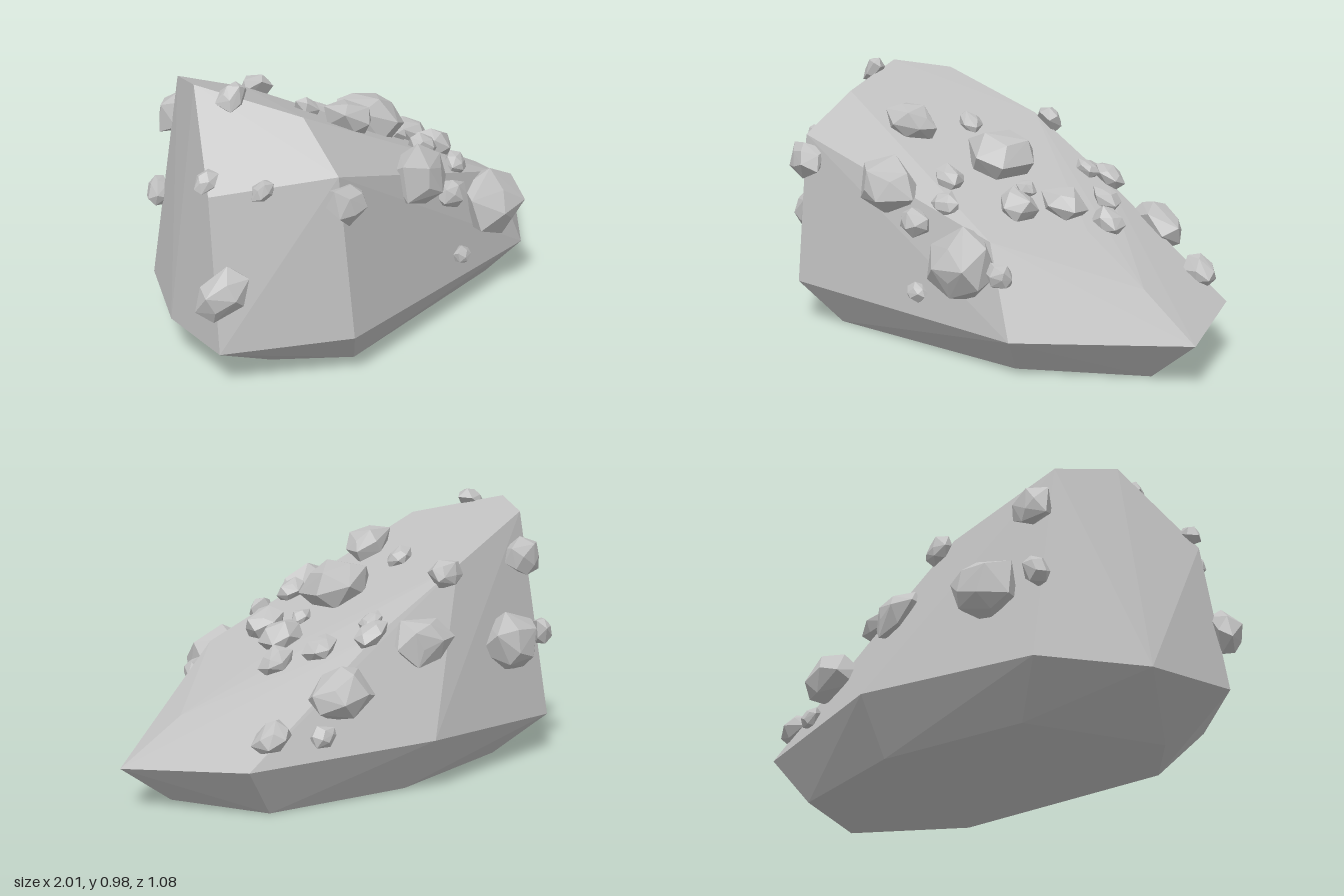
import * as THREE from 'three';
import { ConvexGeometry } from 'three/addons/geometries/ConvexGeometry.js';

const V = (x, y, z) => new THREE.Vector3(x, y, z);

// Small seeded generator for the chipped stone shapes
function seeded(seed) {
  let s = seed * 7919 + 17;
  return () => (s = (s * 16807) % 2147483647) / 2147483647;
}

// Corners of the main boulder, ring by ring
const base = [[-0.68, 0, 0.19], [-0.48, 0, 0.4], [0.42, 0, 0.33], [0.8, 0, 0.05], [0.64, 0, -0.3], [0.1, 0, -0.4], [-0.47, 0, -0.3]];
const belt = [[-0.95, 0.13, 0.21], [-0.61, 0.155, 0.51], [0.5, 0.13, 0.44], [1, 0.15, 0.06],
  [0.78, 0.185, -0.37], [0.08, 0.2, -0.535], [-0.64, 0.15, -0.425], [-0.87, 0.14, -0.1]];
const upper = [[-0.62, 0.72, 0.45], [0.36, 0.45, 0.395], [0.755, 0.297, 0.045], [0.33, 0.5, -0.2],
  [0.2, 0.56, -0.35], [-0.2, 0.77, -0.36], [0.45, 0.447, 0.01], [-0.91, 0.66, 0.14]];
const crown = [[-0.58, 0.875, 0.265], [-0.74, 0.96, -0.08], [-0.62, 0.925, -0.28]];

// Loose stones: x, y, z, radius
const stones = {
  topStone: [[0.03, 0.68, 0.04, 0.155], [-0.27, 0.79, 0.21, 0.105], [-0.2, 0.8, -0.03, 0.055], [0.33, 0.53, 0.01, 0.09],
    [0.28, 0.55, 0.18, 0.085], [0.45, 0.47, -0.1, 0.07], [0.34, 0.53, -0.21, 0.065], [0.17, 0.62, -0.29, 0.05],
    [0.23, 0.6, -0.35, 0.065], [0.2, 0.59, 0.06, 0.045], [0.05, 0.64, 0.3, 0.065], [0.12, 0.55, 0.39, 0.055],
    [-0.73, 0.97, 0.08, 0.06], [-0.13, 0.75, -0.37, 0.07]],
  frontStone: [[-0.15, 0.58, 0.42, 0.13], [0.28, 0.36, 0.45, 0.155], [0.02, 0.48, 0.46, 0.07], [0.06, 0.23, 0.48, 0.045],
    [0.43, 0.35, 0.42, 0.055], [-0.6, 0.63, 0.47, 0.09]],
  sideStone: [[-0.82, 0.69, 0.3, 0.045], [-0.94, 0.35, 0.22, 0.095], [-0.9, 0.71, 0.12, 0.045]],
  backStone: [[-0.57, 0.77, -0.38, 0.09], [0.69, 0.31, -0.36, 0.075], [0.4, 0.4, -0.41, 0.13],
    [0.03, 0.53, -0.41, 0.115], [-0.43, 0.46, -0.43, 0.14], [-0.67, 0.48, -0.42, 0.06], [0.5, 0.27, -0.43, 0.05]],
};

// Chunky faceted stone: three uneven shrinking rings
function stoneGeometry(r, seed) {
  const rand = seeded(seed);
  const points = [];
  for (const [radius, height, count] of [[0.85, -0.4, 5], [1, 0.12, 6], [0.55, 0.5, 4]]) {
    const turn = rand() * 6;
    for (let i = 0; i < count; i++) {
      const a = turn + ((i + rand() * 0.45) / count) * Math.PI * 2;
      const k = r * radius * (0.8 + rand() * 0.3);
      points.push(V(Math.cos(a) * k * 1.05, r * (height + (rand() - 0.5) * 0.2), Math.sin(a) * k * 0.85));
    }
  }
  return new ConvexGeometry(points);
}

// Flat faces of the boulder as planes
function facePlanes(geometry) {
  const p = geometry.attributes.position;
  const at = (i) => new THREE.Vector3().fromBufferAttribute(p, i);
  const planes = [];
  for (let i = 0; i < p.count; i += 3) {
    planes.push(new THREE.Plane().setFromCoplanarPoints(at(i), at(i + 1), at(i + 2)));
  }
  return planes;
}

export function createModel() {
  const group = new THREE.Group();
  const grey = new THREE.MeshStandardMaterial({ color: 0xc0c0c0, flatShading: true });
  grey.name = 'stone grey';

  // Main boulder
  const boulderGeometry = new ConvexGeometry([...base, ...belt, ...upper, ...crown].map((p) => V(...p)));
  const boulder = new THREE.Mesh(boulderGeometry, grey);
  boulder.name = 'boulder';
  group.add(boulder);

  // Stones partly sunk into the nearest boulder face, standing along its normal
  const planes = facePlanes(boulderGeometry);
  let seed = 1;
  for (const [name, list] of Object.entries(stones)) {
    for (const [x, y, z, r] of list) {
      const spot = V(x, y, z);
      const face = planes.reduce((a, b) => (b.distanceToPoint(spot) > a.distanceToPoint(spot) ? b : a));
      const gap = face.distanceToPoint(spot);
      const stone = new THREE.Mesh(stoneGeometry(r, seed++), grey);
      stone.name = name;
      stone.position.copy(spot).addScaledVector(face.normal, THREE.MathUtils.clamp(gap, 0, r * 0.3) - gap);
      stone.quaternion.setFromUnitVectors(V(0, 1, 0), face.normal);
      group.add(stone);
    }
  }
  return group;
}
